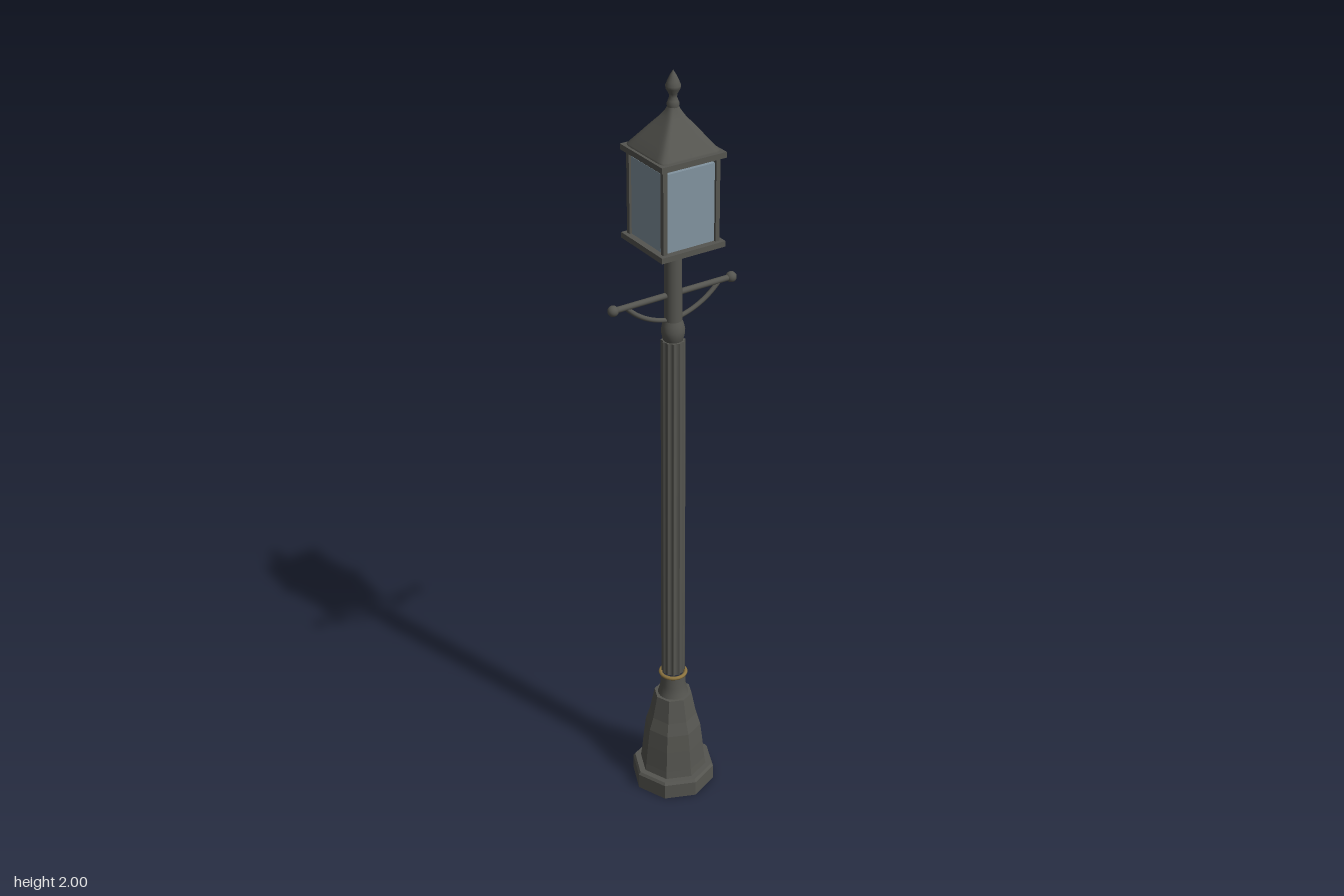
import * as THREE from 'three';

const mat = (name, color, extra = {}) =>
  Object.assign(new THREE.MeshStandardMaterial({ color, ...extra }), { name });

// Skin closed cross-sections: rings are [radius, y, shape], outline(angle, shape) scales the radius
function loft(rings, sides, outline) {
  const pos = [], idx = [], n = sides + 1;
  rings.forEach(([r, y, s]) => {
    for (let i = 0; i <= sides; i++) {
      const a = (i / sides) * Math.PI * 2, k = r * outline(a, s);
      pos.push(Math.sin(a) * k, y, Math.cos(a) * k);
    }
  });
  for (let j = 0; j < rings.length - 1; j++) {
    for (let i = 0; i < sides; i++) {
      const a = j * n + i, b = a + 1, c = a + n, d = c + 1;
      idx.push(a, b, d, a, d, c);
    }
  }
  const g = new THREE.BufferGeometry();
  g.setAttribute('position', new THREE.Float32BufferAttribute(pos, 3));
  g.setIndex(idx);
  g.computeVertexNormals();
  return g;
}

export function createModel() {
  const group = new THREE.Group();
  group.name = 'streetLamp';
  const iron = mat('iron', 0x555550);
  const flatIron = iron.clone();
  flatIron.flatShading = true;
  const glass = mat('glass', 0x8294a0);
  const brass = mat('brass', 0x8c7440);

  const add = (name, geo, m, x = 0, y = 0, z = 0) => {
    const mesh = new THREE.Mesh(geo, m);
    mesh.name = name;
    mesh.position.set(x, y, z);
    group.add(mesh);
    return mesh;
  };
  const lathe = (pts, sides = 24) =>
    new THREE.LatheGeometry(pts.map(([r, y]) => new THREE.Vector2(r, y)), sides);

  // Octagonal foot
  add('plinth', lathe([[0, 0], [0.11, 0], [0.11, 0.043], [0.105, 0.05], [0, 0.05]], 8), flatIron);
  add('pedestal', lathe([[0.089, 0.05], [0.086, 0.07], [0.08, 0.13], [0.074, 0.18],
    [0.063, 0.215], [0.055, 0.255], [0.05, 0.28], [0, 0.282]], 8), flatIron);
  add('pedestalNeck', lathe([[0.042, 0.275], [0.037, 0.29], [0.033, 0.31], [0.032, 0.345]]), iron);
  const ring = add('brassRing', new THREE.TorusGeometry(0.033, 0.005, 8, 32), brass, 0, 0.345);
  ring.rotation.x = Math.PI / 2;

  // Fluted shaft, closed at both ends
  const flutes = (a) => 1 - 0.14 * Math.pow(Math.abs(Math.sin(a * 6)), 0.8);
  add('flutedShaft', loft([[0, 0.35], [0.031, 0.35], [0.031, 0.351], [0.03, 1.329], [0.03, 1.33], [0, 1.33]],
    96, flutes), iron);

  // Collar and upper post
  add('collar', lathe([[0.02, 1.325], [0.024, 1.33], [0.028, 1.345], [0.029, 1.358],
    [0.026, 1.372], [0.021, 1.385]]), iron);
  add('upperPost', new THREE.CylinderGeometry(0.021, 0.022, 0.185, 24), iron, 0, 1.4675);

  // Ladder rest with end balls and curved braces
  const bar = add('crossbar', new THREE.CylinderGeometry(0.0075, 0.0075, 0.33, 12), iron, 0, 1.45);
  bar.rotation.z = Math.PI / 2;
  for (const s of [-1, 1]) {
    add('barBall', new THREE.SphereGeometry(0.0135, 16, 12), iron, s * 0.166, 1.45);
    const curve = new THREE.QuadraticBezierCurve3(
      new THREE.Vector3(s * 0.13, 1.448, 0),
      new THREE.Vector3(s * 0.085, 1.398, 0),
      new THREE.Vector3(s * 0.015, 1.385, 0));
    add('brace', new THREE.TubeGeometry(curve, 14, 0.006, 8), iron);
  }

  // Lantern box
  add('lanternCup', lathe([[0.02, 1.545], [0.024, 1.552], [0.034, 1.563], [0.044, 1.578], [0.046, 1.587]]), iron);
  add('lanternFloor', new THREE.BoxGeometry(0.174, 0.014, 0.174), iron, 0, 1.59);
  add('lanternGlass', new THREE.BoxGeometry(0.142, 0.192, 0.142), glass, 0, 1.693);
  for (const x of [-1, 1]) for (const z of [-1, 1]) {
    add('cornerPost', new THREE.BoxGeometry(0.011, 0.21, 0.011), iron, x * 0.0715, 1.698, z * 0.0715);
  }
  add('lanternTop', new THREE.BoxGeometry(0.174, 0.014, 0.174), iron, 0, 1.809);

  // Roof blends from a rounded square to a circle
  const squircle = (a, n) =>
    Math.pow(Math.abs(Math.sin(a)) ** n + Math.abs(Math.cos(a)) ** n, -1 / n);
  add('roof', loft([[0.08, 1.815, 14], [0.079, 1.82, 14], [0.06, 1.845, 12], [0.04, 1.872, 9],
    [0.024, 1.893, 5], [0.016, 1.908, 2.5], [0.012, 1.918, 2]], 64, squircle), iron);

  // Finial
  add('finial', lathe([[0.013, 1.912], [0.015, 1.922], [0.012, 1.929], [0.009, 1.937], [0.01, 1.945],
    [0.017, 1.957], [0.018, 1.964], [0.014, 1.974], [0.007, 1.989], [0, 2]], 16), iron);

  return group;
}
